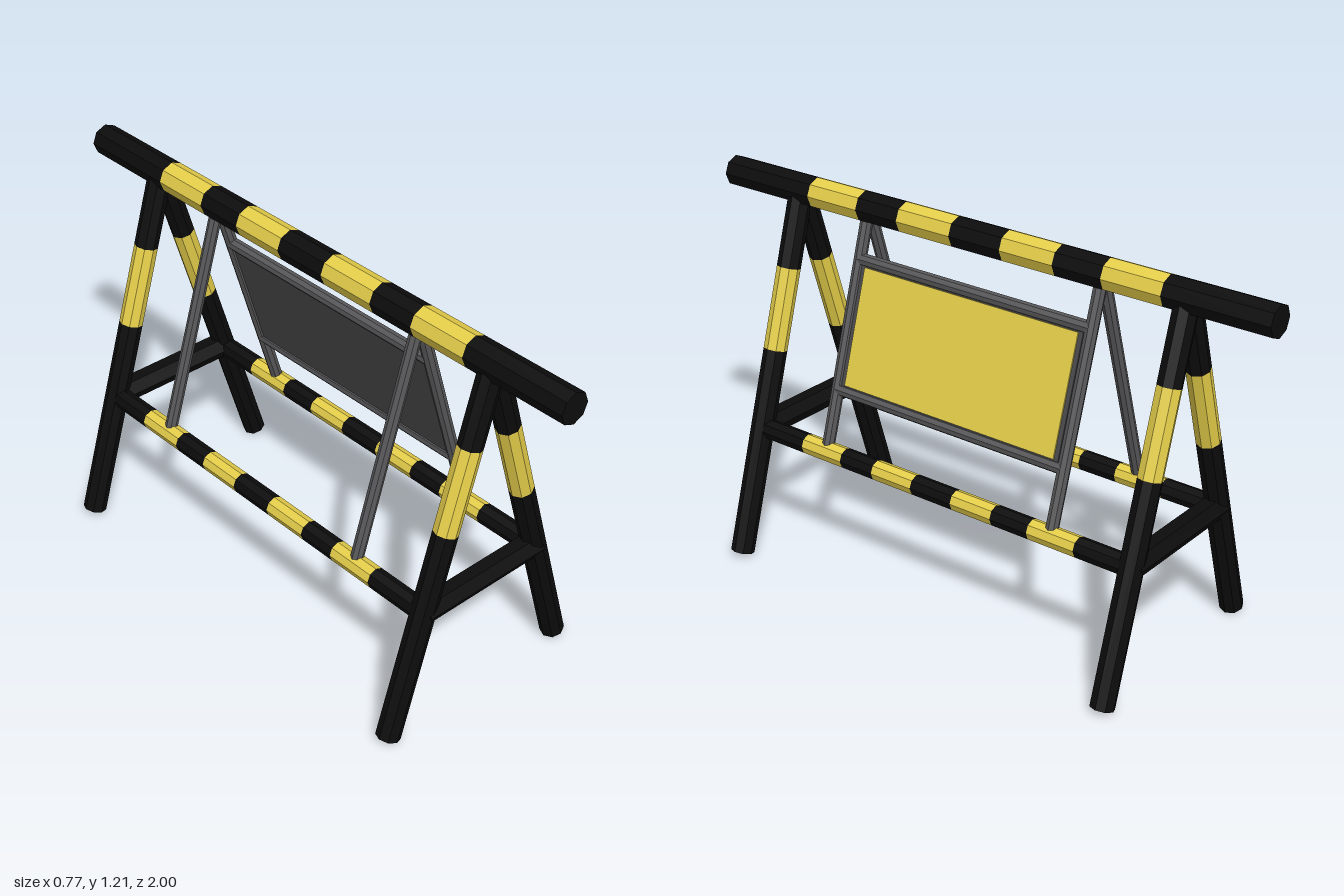
import * as THREE from 'three';

const paint = (color) => new THREE.MeshStandardMaterial({ color, flatShading: true });
const black = paint(0x0c0c0c);
const yellow = paint(0xe6cf4a);
const steel = paint(0x58585a);
const backing = paint(0x4a4a4c);

const UP = new THREE.Vector3(0, 1, 0);
const BEAM_Y = 1.165, RAIL_Y = 0.418, LEG_Z = 0.715, STRUT_Z = 0.434;
const FOOT = { x: 0.351, y: 0.014 };
const SLOPE = FOOT.x / (BEAM_Y - FOOT.y);
const legX = (y) => (BEAM_Y - y) * SLOPE;

// Straight bar between two points
function bar(name, a, b, radius, material, sides = 8, open = false) {
  const from = new THREE.Vector3(...a), to = new THREE.Vector3(...b);
  const dir = to.clone().sub(from);
  const mesh = new THREE.Mesh(new THREE.CylinderGeometry(radius, radius, dir.length(), sides, 1, open), material);
  mesh.position.copy(from).add(to).multiplyScalar(0.5);
  mesh.quaternion.setFromUnitVectors(UP, dir.normalize());
  mesh.name = name;
  return mesh;
}

// Bar painted alternately black and yellow; cuts are fractions of its length
function stripedBar(name, a, b, radius, cuts) {
  const group = new THREE.Group();
  group.name = name;
  const from = new THREE.Vector3(...a), to = new THREE.Vector3(...b);
  const stops = [0, ...cuts, 1];
  for (let i = 0; i < stops.length - 1; i++) {
    const p = from.clone().lerp(to, stops[i]).toArray();
    const q = from.clone().lerp(to, stops[i + 1]).toArray();
    const inner = i > 0 && i < stops.length - 2;
    group.add(bar(inner && i % 2 ? 'yellowBand' : 'blackBand', p, q, radius, i % 2 ? yellow : black, 8, inner));
  }
  return group;
}

// Turn stripe edges given as z (front to back) into fractions
const zCuts = (half, edges) => edges.map((z) => (half - z) / (2 * half));

function box(name, w, h, d, x, y, material) {
  const mesh = new THREE.Mesh(new THREE.BoxGeometry(w, h, d), material);
  mesh.position.set(x, y, 0);
  mesh.name = name;
  return mesh;
}

export function createModel() {
  const model = new THREE.Group();
  model.name = 'trestleBarrier';

  // Top beam
  model.add(stripedBar('topBeam', [0, BEAM_Y, 1], [0, BEAM_Y, -1], 0.05,
    zCuts(1, [0.645, 0.447, 0.285, 0.083, -0.104, -0.292, -0.458, -0.656])));

  // A-frames at both ends
  const legCuts = [0.922, 0.666].map((y) => (BEAM_Y - y) / (BEAM_Y - FOOT.y));
  for (const z of [LEG_Z, -LEG_Z]) {
    for (const s of [1, -1]) {
      model.add(stripedBar('leg', [0, BEAM_Y, z], [s * FOOT.x, FOOT.y, z], 0.038, legCuts));
    }
    model.add(bar('crossbar', [-0.233, 0.422, z], [0.233, 0.422, z], 0.041, black, 6));
  }

  // Lower side rails and thin sloping struts
  for (const s of [1, -1]) {
    model.add(stripedBar('sideRail', [s * 0.224, RAIL_Y, LEG_Z], [s * 0.224, RAIL_Y, -LEG_Z], 0.033,
      zCuts(LEG_Z, [0.517, 0.356, 0.228, 0.072, -0.083, -0.233, -0.367, -0.533])));
    for (const z of [STRUT_Z, -STRUT_Z]) {
      model.add(bar('strut', [s * legX(1.15), 1.15, z], [s * legX(RAIL_Y), RAIL_Y, z], 0.02, steel));
    }
  }

  // Sign panel lying in the plane of the left struts
  const sign = new THREE.Group();
  sign.name = 'signPanel';
  const midY = 0.812;
  sign.position.set(legX(midY), midY, 0);
  sign.rotation.z = Math.atan(SLOPE);
  for (const y of [0.207, -0.207]) {
    sign.add(bar('frameBar', [0, y, STRUT_Z], [0, y, -STRUT_Z], 0.02, steel));
  }
  sign.add(box('backPlate', 0.02, 0.41, 0.83, 0, 0, backing));
  sign.add(box('yellowFace', 0.004, 0.375, 0.80, 0.012, 0, yellow));
  model.add(sign);

  return model;
}
